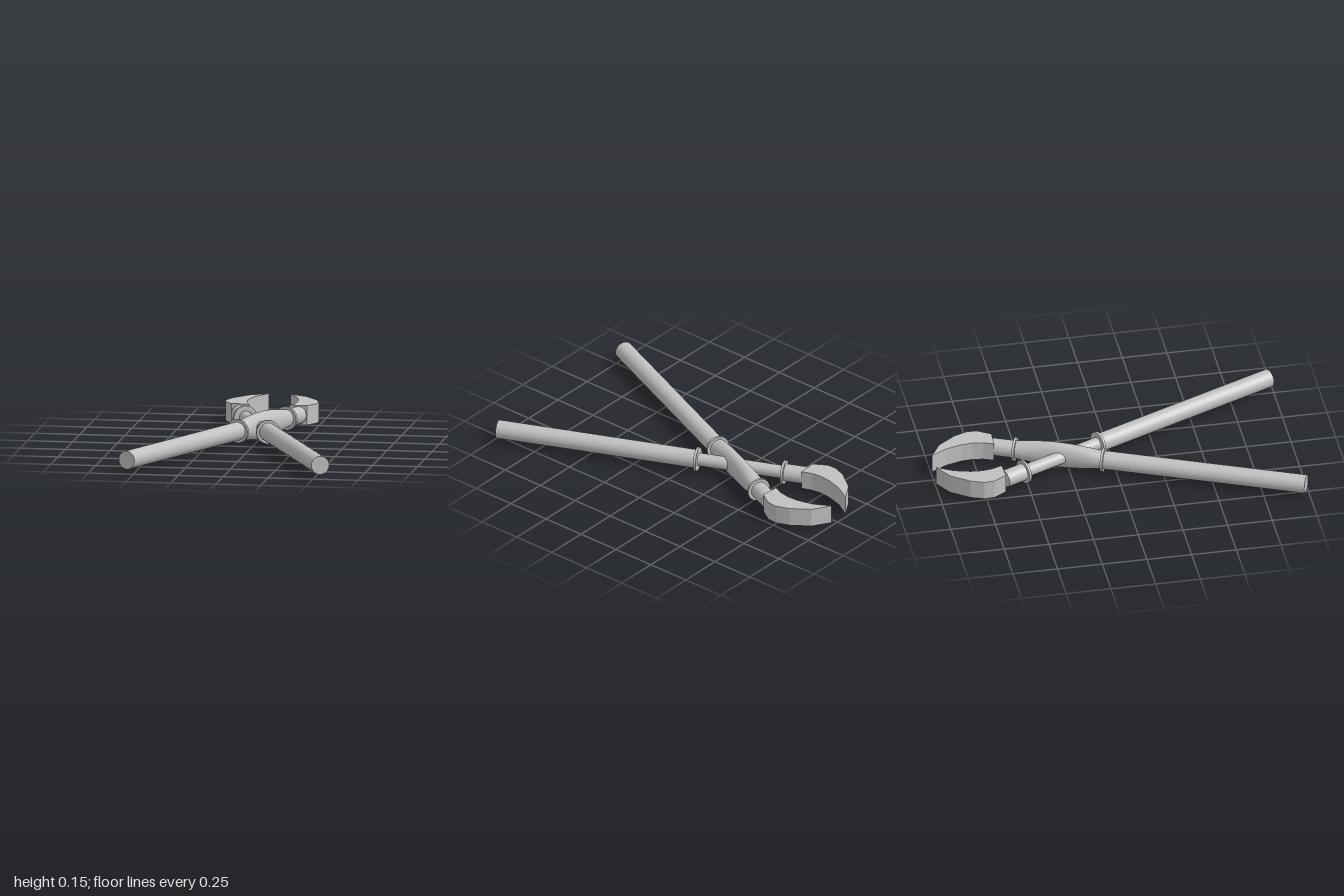
import * as THREE from 'three';

const steel = new THREE.MeshStandardMaterial({ color: 0xc0c0c0 });
steel.name = 'grey steel';

const AXIS_Y = 0.0745;                 // height of both arm axes
const LENGTH = 1.765;                  // arm length, handle end to jaw
const RINGS = [1.14, 1.637];           // collar positions along the arm

function add(parent, name, geometry) {
  const mesh = new THREE.Mesh(geometry, steel);
  mesh.name = name;
  parent.add(mesh);
  return mesh;
}

// Rod running along local -z from distance a to distance b
function rod(radius, a, b) {
  return new THREE.CylinderGeometry(radius, radius, b - a, 32)
    .translate(0, (a + b) / 2, 0).rotateX(-Math.PI / 2);
}

// Hub between the collars: tall in the middle, slimmer from side to side
function hubGeometry() {
  const [a, b] = RINGS;
  const swell = (t) => Math.sin(Math.PI * Math.min(1, Math.max(0, (t - a) / (b - a))));
  const profile = [];
  for (let i = 0; i <= 20; i++) {
    const t = a + (b - a) * i / 20;
    profile.push(new THREE.Vector2(0.049 + 0.0255 * swell(t), t));
  }
  const geo = new THREE.LatheGeometry(profile, 32);
  const p = geo.attributes.position;
  for (let i = 0; i < p.count; i++) p.setX(i, p.getX(i) * (1 - 0.38 * swell(p.getY(i))));
  geo.computeVertexNormals();
  return geo.rotateX(-Math.PI / 2);
}

// Curved jaw outline as [x, distance towards the back]
const JAW = [
  [0.05, 1.0], [0.10, 0.91], [0.125, 0.82], [0.13, 0.757], [0.122, 0.70], [0.10, 0.643],
  [0.20, 0.637], [0.245, 0.71], [0.248, 0.767], [0.22, 0.84], [0.148, 0.94],
];

function jawGeometry(side, shift) {
  const shape = new THREE.Shape(JAW.map(([x, d]) => new THREE.Vector2(side * x + shift, d)));
  return new THREE.ExtrudeGeometry(shape, { depth: 0.108, bevelEnabled: false })
    .rotateX(-Math.PI / 2).translate(0, AXIS_Y - 0.054, 0);
}

// One arm: handle, collars, middle section and stub below the jaw
function buildArm(name, handleX, tilt, hasHub) {
  const arm = new THREE.Group();
  arm.name = name;
  arm.position.set(handleX, AXIS_Y, 0.98);
  arm.rotation.y = tilt;
  add(arm, 'handle', rod(0.051, 0, RINGS[0]));
  add(arm, 'neck', rod(0.048, RINGS[1], LENGTH));
  RINGS.forEach((t) => add(arm, 'collar', rod(0.066, t - 0.007, t + 0.007)));
  if (hasHub) add(arm, 'slottedHub', hubGeometry());
  else add(arm, 'crossRod', rod(0.036, RINGS[0], RINGS[1]));
  return arm;
}

export function createModel() {
  const model = new THREE.Group();
  model.name = 'tongs';
  model.add(buildArm('hubArm', -0.54, -Math.atan(0.4295), true));
  model.add(buildArm('crossArm', 0.538, Math.atan(0.441), false));
  add(model, 'leftJaw', jawGeometry(1, 0));
  add(model, 'rightJaw', jawGeometry(-1, -0.02));
  return model;
}
